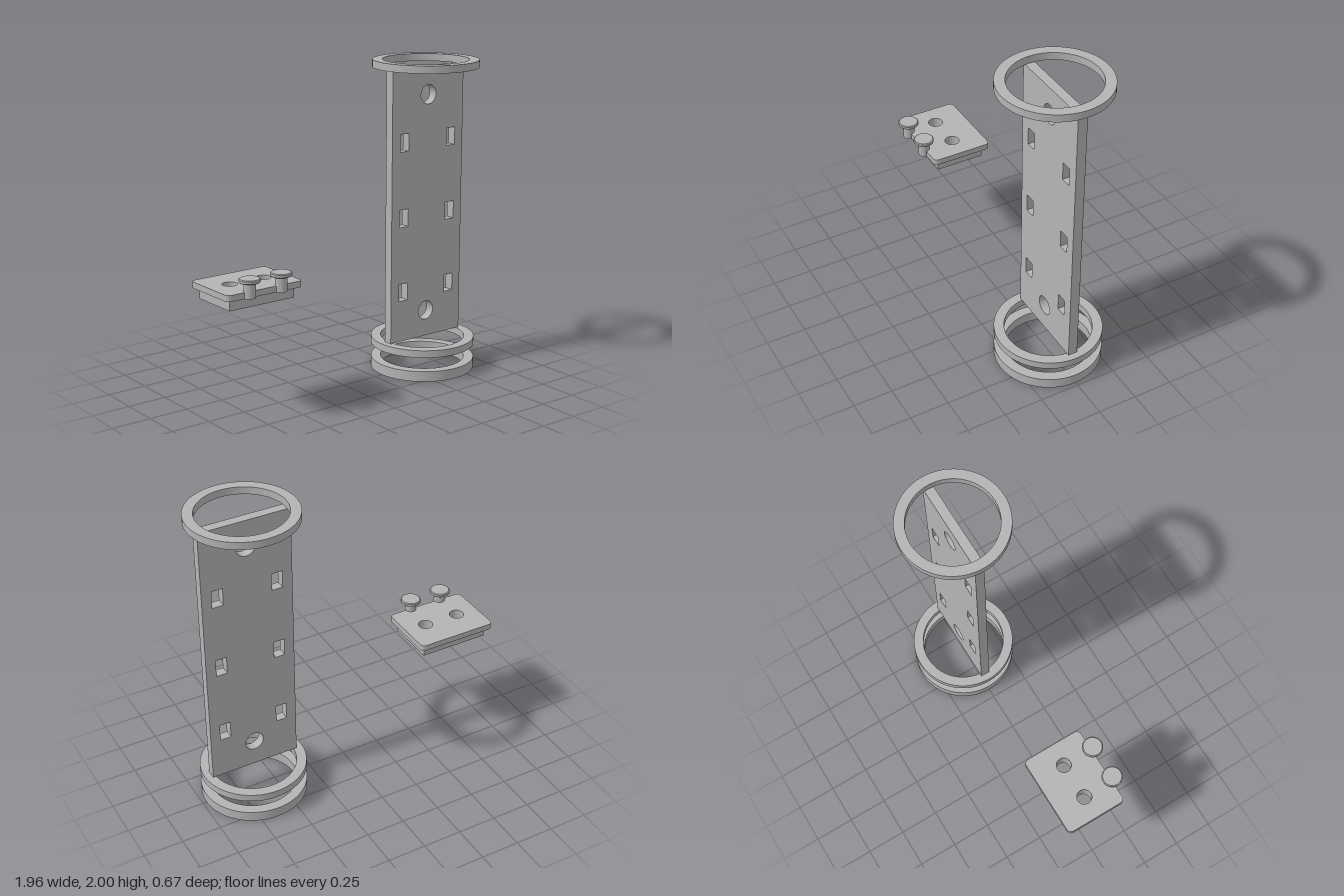
import * as THREE from 'three';
import { toCreasedNormals } from 'three/addons/utils/BufferGeometryUtils.js';

const grey = new THREE.MeshStandardMaterial({ color: 0xb4b4b4 });
grey.name = 'plain grey';

const circle = (x, y, r) => new THREE.Path().absarc(x, y, r, 0, Math.PI * 2, true);

// Rectangle with optional rounded corners, given by its centre
function rect(x, y, w, h, r = 0, Type = THREE.Shape) {
  const p = new Type();
  const a = w / 2, b = h / 2;
  if (!r) {
    return p.moveTo(x - a, y - b).lineTo(x + a, y - b).lineTo(x + a, y + b).lineTo(x - a, y + b).closePath();
  }
  p.absarc(x + a - r, y - b + r, r, -Math.PI / 2, 0);
  p.absarc(x + a - r, y + b - r, r, 0, Math.PI / 2);
  p.absarc(x - a + r, y + b - r, r, Math.PI / 2, Math.PI);
  p.absarc(x - a + r, y - b + r, r, Math.PI, Math.PI * 1.5);
  p.closePath();
  return p;
}

function extrude(shape, depth, curveSegments = 24) {
  return new THREE.ExtrudeGeometry(shape, { depth, bevelEnabled: false, curveSegments });
}

function part(name, geometry) {
  const mesh = new THREE.Mesh(toCreasedNormals(geometry, 0.6), grey);
  mesh.name = name;
  return mesh;
}

// Flat slab lying between two heights
function slab(name, shape, y0, y1, segments) {
  return part(name, extrude(shape, y1 - y0, segments).rotateX(-Math.PI / 2).translate(0, y0, 0));
}

export function createModel() {
  const model = new THREE.Group();
  model.name = 'model';

  // Sled: upright perforated plate between rings
  const sled = new THREE.Group();
  sled.name = 'sled';
  sled.position.x = 0.643;
  const rings = [['looseRing', 0, 0.067], ['bottomRing', 0.159, 0.206], ['topRing', 1.953, 2]];
  for (const [name, y0, y1] of rings) {
    const ring = new THREE.Shape().absarc(0, 0, 0.333, 0, Math.PI * 2);
    ring.holes.push(circle(0, 0, 0.27));
    sled.add(slab(name, ring, y0, y1, 64));
  }

  const plate = rect(0, 1.0795, 0.578, 1.747);
  for (const y of [0.378, 1.783]) plate.holes.push(circle(0, y, 0.061));
  for (const y of [0.532, 1.015, 1.497]) {
    for (const s of [-1, 1]) plate.holes.push(rect(s * 0.19, y, 0.07, 0.113, 0, THREE.Path));
  }
  sled.add(part('uprightPlate', extrude(plate, 0.06).translate(0, 0, -0.03)));
  model.add(sled);

  // Cover: rounded lid over a smaller block, both pierced by two holes
  const cover = new THREE.Group();
  cover.name = 'cover';
  cover.position.x = -0.718;
  const lid = rect(0, 0, 0.526, 0.396, 0.03);
  const block = rect(0, 0, 0.452, 0.318);
  for (const s of [-1, 1]) {
    lid.holes.push(circle(s * 0.117, 0, 0.046));
    block.holes.push(circle(s * 0.117, 0, 0.046));
    // Small blind screw holes in the underside
    for (const t of [-1, 1]) block.holes.push(circle(s * 0.19, t * 0.125, 0.012));
  }
  cover.add(slab('lid', lid, 0.772, 0.81), slab('lowerBlock', block, 0.704, 0.772));
  model.add(cover);

  // Two buttons with slightly bevelled heads
  const profile = [[0, 0.773], [0.036, 0.773], [0.036, 0.865], [0.058, 0.865], [0.064, 0.87],
    [0.064, 0.884], [0.058, 0.889], [0, 0.889]].map(([x, y]) => new THREE.Vector2(x, y));
  for (const [name, x] of [['rightButton', -0.83], ['leftButton', -0.61]]) {
    const button = part(name, new THREE.LatheGeometry(profile, 40));
    button.position.set(x, 0, 0.198);
    model.add(button);
  }
  return model;
}
